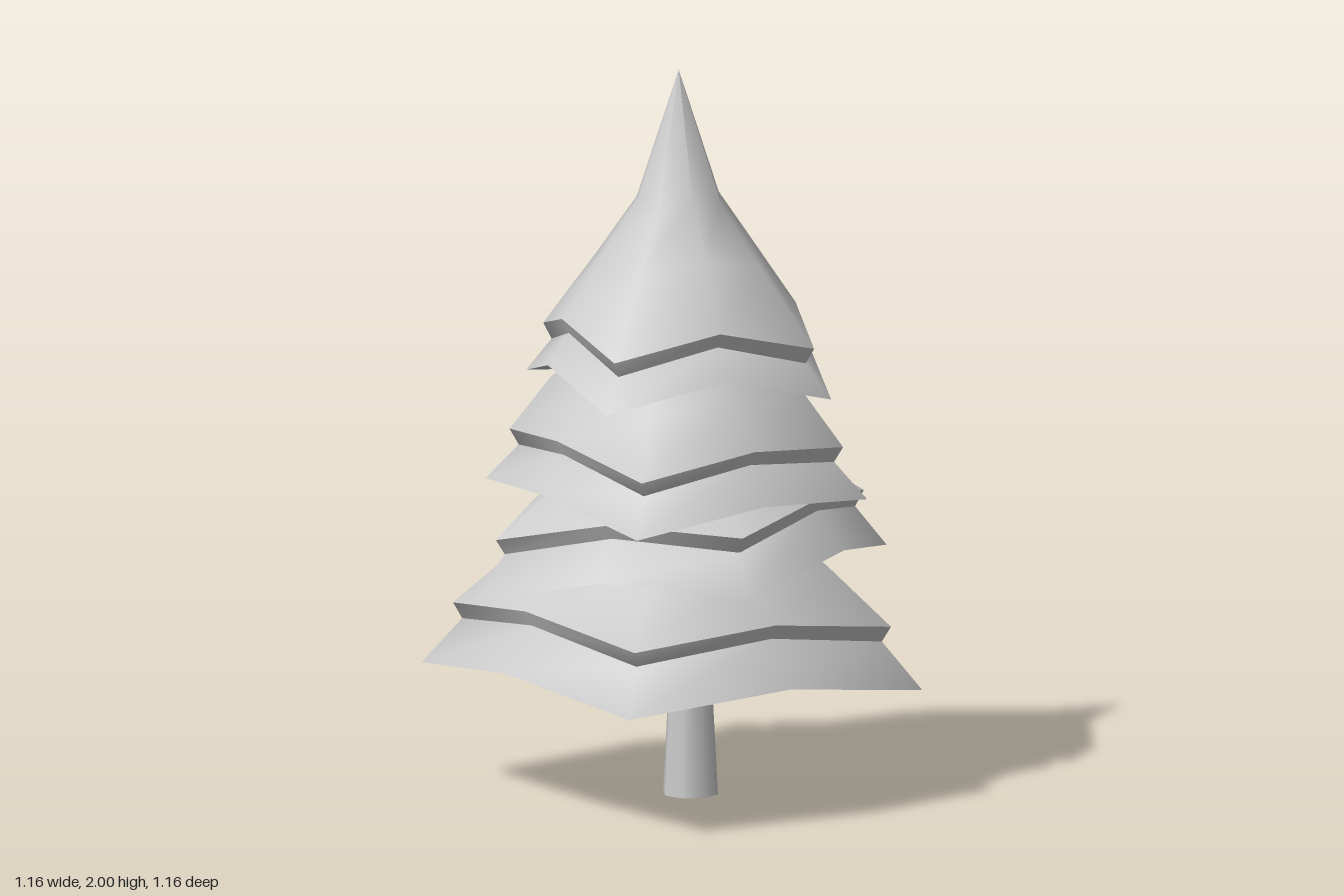
import * as THREE from 'three';

const SIDES = 8; // four drooping corners alternating with four raised midpoints

// Ring: [corner radius, midpoint radius, corner height, midpoint height]
// Bands are lists of rings from inside/bottom to top; normals are smooth within a band only.
function tierGeometry(tier, bands) {
  const positions = [], index = [];
  for (const band of bands) {
    const start = positions.length / 3;
    for (const [rc, rm, yc, ym] of band) {
      for (let i = 0; i < SIDES; i++) {
        const corner = i % 2 === 0;
        const a = THREE.MathUtils.degToRad(tier.angle) + (i / SIDES) * Math.PI * 2;
        const r = corner ? rc : rm;
        const x = r * Math.cos(a), z = r * Math.sin(a);
        const y = (corner ? yc : ym) + tier.tilt[0] * x + tier.tilt[1] * z;
        positions.push(x + tier.center[0], y, z + tier.center[1]);
      }
    }
    for (let k = 0; k < band.length - 1; k++) {
      for (let i = 0; i < SIDES; i++) {
        const j = (i + 1) % SIDES, lo = start + k * SIDES, hi = lo + SIDES;
        index.push(lo + i, hi + i, lo + j, lo + j, hi + i, hi + j);
      }
    }
  }
  const geometry = new THREE.BufferGeometry();
  geometry.setAttribute('position', new THREE.Float32BufferAttribute(positions, 3));
  geometry.setIndex(index);
  geometry.computeVertexNormals();
  return geometry;
}

// Each tier has a lower rim, an undercut notch, an upper rim and a crown of rings above it
const TIERS = [
  {
    name: 'bottomTier', angle: 39, center: [-0.03, 0], tilt: [-0.035, 0.01],
    lower: [0.686, 0.555, 0.325, 0.38], upper: [0.6, 0.485, 0.495, 0.545],
    crown: [[0.44, 0.38, 0.64, 0.66], [0.28, 0.25, 0.78, 0.78]],
  },
  {
    name: 'lowerMiddleTier', angle: 10.5, center: [0, -0.01], tilt: [0.05, 0.085],
    lower: [0.59, 0.495, 0.605, 0.665], upper: [0.525, 0.435, 0.765, 0.815],
    crown: [[0.36, 0.32, 0.88, 0.9], [0.24, 0.21, 1.0, 1.0]],
  },
  {
    name: 'upperMiddleTier', angle: 41, center: [-0.025, 0.015], tilt: [0.035, -0.06],
    lower: [0.526, 0.435, 0.845, 0.895], upper: [0.46, 0.385, 0.985, 1.035],
    crown: [[0.35, 0.3, 1.13, 1.16], [0.2, 0.18, 1.28, 1.28]],
  },
  {
    name: 'topTier', angle: 54.7, center: [-0.015, 0.01], tilt: [0, 0],
    lower: [0.456, 0.375, 1.13, 1.21], upper: [0.405, 0.335, 1.265, 1.335],
    crown: [[0.245, 0.215, 1.475, 1.51], [0.125, 0.115, 1.64, 1.655], [0, 0, 2, 2]],
  },
];

export function createModel() {
  const tree = new THREE.Group();
  tree.name = 'pineTree';
  const material = new THREE.MeshStandardMaterial({ color: 0xcccccc });

  // Tapered trunk, reaching up into the bottom tier
  const trunk = new THREE.Mesh(new THREE.CylinderGeometry(0.053, 0.077, 0.45, 8), material);
  trunk.name = 'trunk';
  trunk.position.set(0.02, 0.225, 0.013);
  tree.add(trunk);

  // Stacked foliage tiers
  for (const tier of TIERS) {
    const { lower, upper, crown } = tier;
    const notch = [upper[0] - 0.025, upper[1] - 0.02, upper[2] - 0.042, upper[3] - 0.04];
    const middle = (lower[2] + lower[3]) / 2 + 0.01;
    const bands = [
      [[0, 0, middle, middle], lower], // underside
      [lower, notch],                  // lower skirt
      [notch, upper],                  // undercut lip
      [upper, ...crown],               // upper skirt and crown
    ];
    const mesh = new THREE.Mesh(tierGeometry(tier, bands), material);
    mesh.name = tier.name;
    tree.add(mesh);
  }
  return tree;
}
